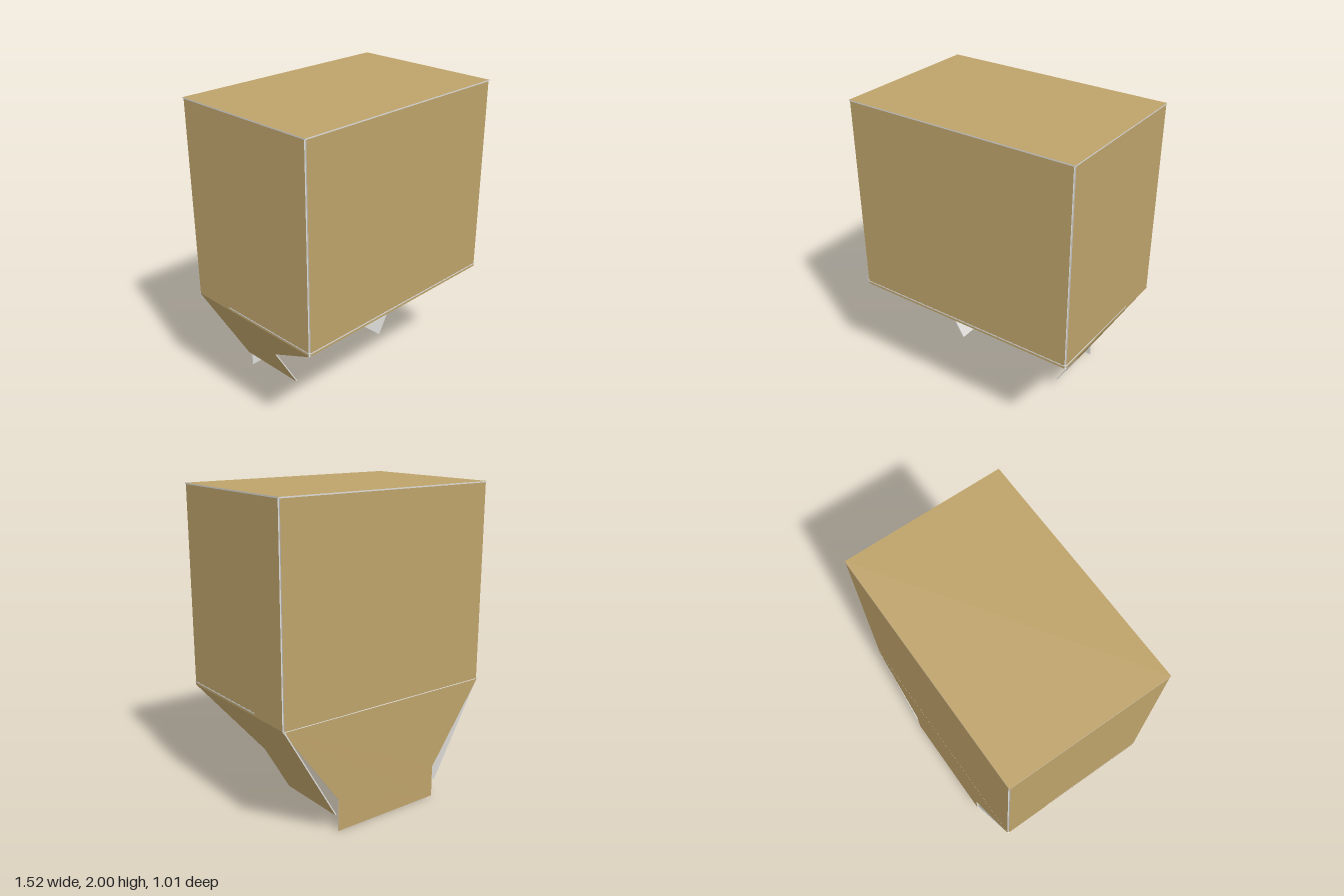
import * as THREE from 'three';

const W = 0.76, D = 0.505, T = 0.008;   // half width, half depth, board thickness
const TOP = 2, BASE = 0.73;             // box body height range

export function createModel() {
  const model = new THREE.Group();
  const cardboard = new THREE.MeshStandardMaterial({ color: 0xbda26a });
  cardboard.name = 'brown cardboard';
  const lining = new THREE.MeshStandardMaterial({ color: 0xdcdbd7 });
  lining.name = 'pale grey lining';

  // A board with its brown face on local z = 0 (facing +z), pale inside and edges.
  // It is turned by yaw about y, then folded inward about its hinge by fold.
  function board(name, points, position, yaw, fold = 0) {
    const shape = new THREE.Shape(points.map(([x, y]) => new THREE.Vector2(x, y)));
    const geo = new THREE.ExtrudeGeometry(shape, { depth: T, bevelEnabled: false });
    geo.translate(0, 0, -T);
    const lids = geo.groups[0].count, total = geo.attributes.position.count;
    geo.clearGroups();
    geo.addGroup(0, lids / 2, 0);
    geo.addGroup(lids / 2, lids / 2, 1);
    geo.addGroup(lids, total - lids, 0);
    const mesh = new THREE.Mesh(geo, [lining, cardboard]);
    mesh.name = name;
    mesh.position.set(...position);
    mesh.rotation.set(fold, yaw, 0, 'YXZ');
    model.add(mesh);
  }

  const rect = (w, y0, y1) => [[-w, y0], [w, y0], [w, y1], [-w, y1]];
  const height = TOP - T - BASE;

  // Walls, stopping short of each other so pale edges show at the corners
  board('frontWall', rect(W - T, 0, height), [0, BASE, D], 0);
  board('backWall', rect(W - T, 0, height), [0, BASE, -D], Math.PI);
  for (const s of [1, -1]) {
    board(s > 0 ? 'leftWall' : 'rightWall', rect(D - T, 0, height), [s * W, BASE, 0], s * Math.PI / 2);
  }

  // Closed top
  board('topPanel', rect(W, -D, D), [0, TOP, 0], 0, -Math.PI / 2);

  // Back flap hangs straight down
  board('backFlap', [[-W, 0], [-0.38, -0.52], [-0.38, -0.725], [0.38, -0.725], [0.38, -0.52], [W, 0]],
    [0, 0.725, -D], Math.PI);

  // Side flaps slope inward, notched toward the front
  for (const s of [1, -1]) {
    const profile = [[-D, 0], [0.015, -0.37], [0.015, -0.716], [D, -0.716], [D, 0]];
    board(s > 0 ? 'leftFlap' : 'rightFlap', profile.map(([x, y]) => [s * x, y]),
      [s * W, BASE, 0], s * Math.PI / 2, Math.PI / 6);
  }

  // Front flap folded flat across the opening, its edges just showing
  board('frontFlap', rect(W + 0.001, -0.715, 0.001), [0, 0.744, D], 0, Math.PI / 2);

  return model;
}
